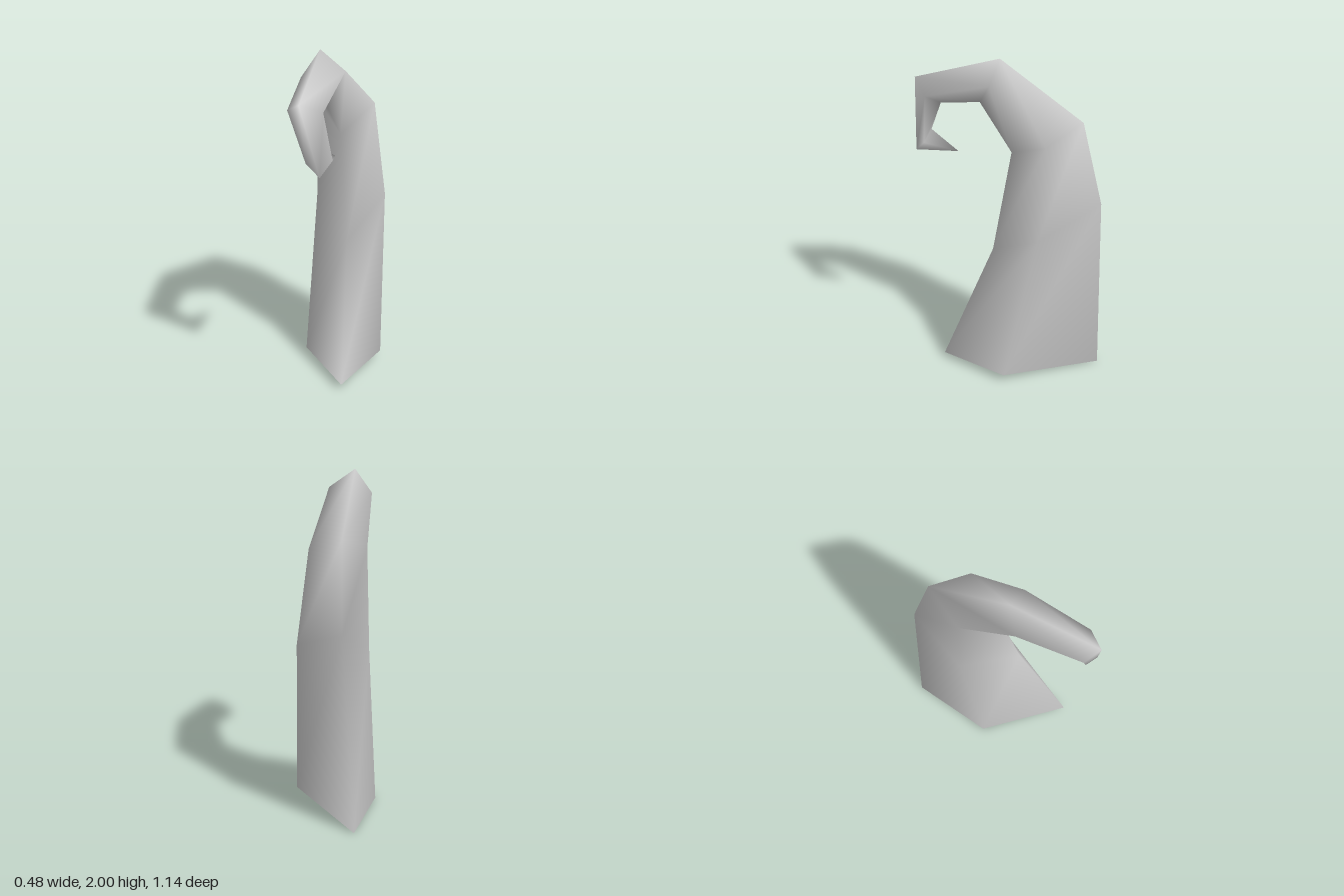
import * as THREE from 'three';

// Curled tentacle: four-sided cross-sections followed from the open base to the tip.
// Corner order in each ring: inner (front), left, outer (back), right.
const RINGS = [
  [[0.065, 0.035, 0.385], [0.24, 0.05, -0.035], [-0.1, 0, -0.57], [-0.24, 0, -0.08]],
  [[0.045, 0.84, 0.07], [0.228, 1.03, -0.235], [-0.03, 1.18, -0.56], [-0.19, 1.0, -0.225]],
  [[-0.01, 1.47, -0.03], [0.155, 1.6, -0.26], [-0.03, 1.69, -0.44], [-0.175, 1.6, -0.22]],
  [[-0.07, 1.74, 0.17], [0.04, 1.89, 0.09], [-0.11, 2.0, 0.06], [-0.21, 1.85, 0.12]],
  [[-0.1, 1.7, 0.41], [-0.015, 1.77, 0.48], [-0.13, 1.835, 0.57], [-0.208, 1.78, 0.5]],
  [[-0.03, 1.56, 0.45], [0.035, 1.5, 0.48], [-0.025, 1.42, 0.545], [-0.11, 1.48, 0.5]],
];
const TIP = [0.012, 1.455, 0.28];

function loft(rings, tip) {
  const n = rings[0].length;
  const index = [];
  rings.forEach((ring, r) => {
    for (let i = 0; i < n; i++) {
      const j = (i + 1) % n;
      const a = r * n + i, b = r * n + j;
      if (r < rings.length - 1) index.push(a, b, b + n, a, b + n, a + n);
      else index.push(a, b, rings.length * n); // closing fan at the tip
    }
  });
  const geometry = new THREE.BufferGeometry();
  const points = [...rings.flat(), tip].flat();
  geometry.setAttribute('position', new THREE.Float32BufferAttribute(points, 3));
  geometry.setIndex(index);
  geometry.computeVertexNormals();
  return geometry;
}

export function createModel() {
  const group = new THREE.Group();
  group.name = 'curledTentacle';
  // Hollow at the bottom, so both sides are drawn
  const material = new THREE.MeshStandardMaterial({ color: 0xcccccc, side: THREE.DoubleSide });
  const tentacle = new THREE.Mesh(loft(RINGS, TIP), material);
  tentacle.name = 'tentacle';
  group.add(tentacle);
  return group;
}
